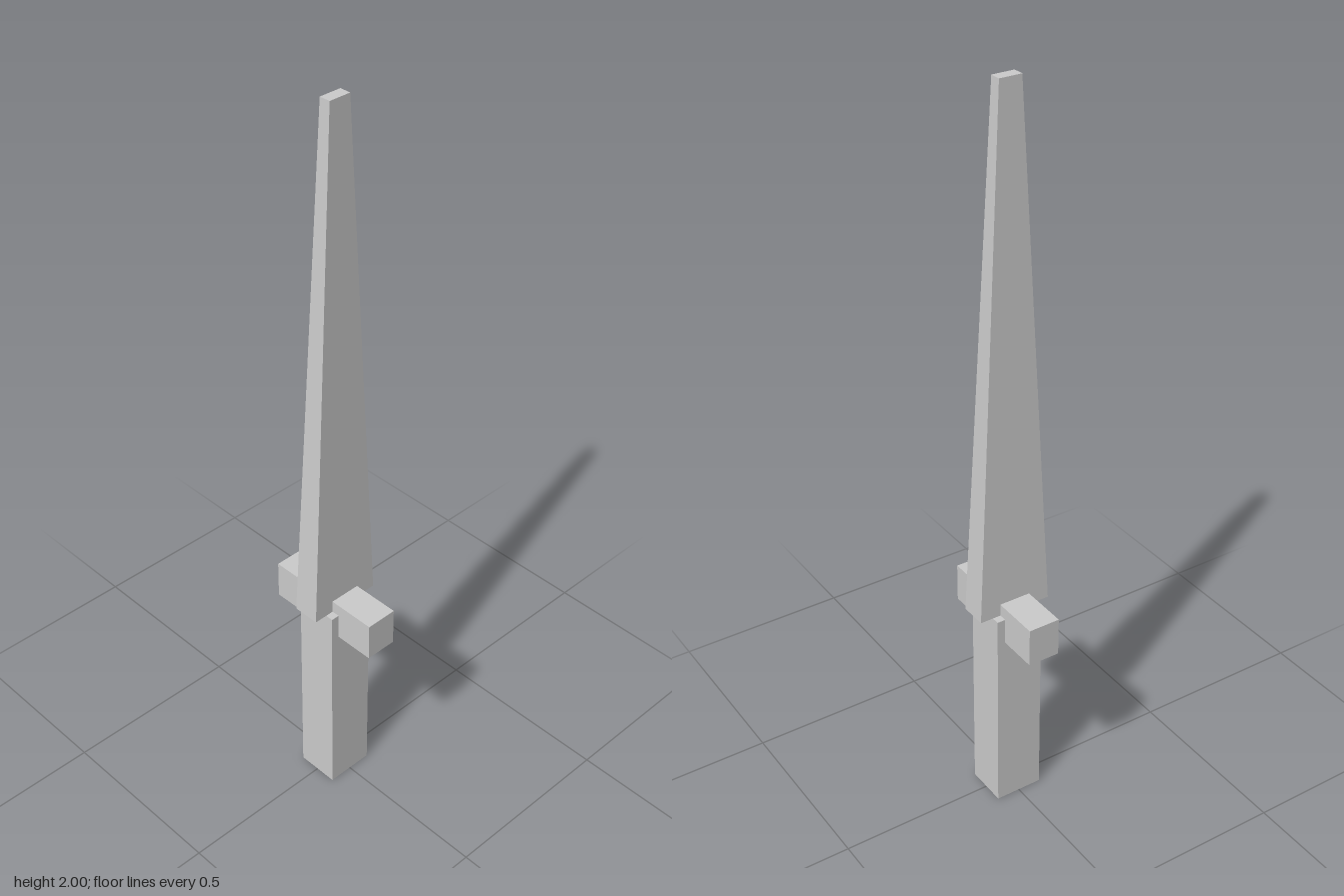
import * as THREE from 'three';

const material = new THREE.MeshStandardMaterial({ color: 0xcccccc, flatShading: true });

// Box standing from y0 to y1, optionally tapered to a smaller top.
function block(name, width, depth, y0, y1, topWidth = width, topDepth = depth) {
  const geometry = new THREE.BoxGeometry(width, y1 - y0, depth);
  const p = geometry.attributes.position;
  for (let i = 0; i < p.count; i++) {
    if (p.getY(i) > 0) {
      p.setX(i, Math.sign(p.getX(i)) * topWidth / 2);
      p.setZ(i, Math.sign(p.getZ(i)) * topDepth / 2);
    }
  }
  geometry.computeVertexNormals();
  const mesh = new THREE.Mesh(geometry, material);
  mesh.name = name;
  mesh.position.y = (y0 + y1) / 2;
  return mesh;
}

export function createModel() {
  const group = new THREE.Group();
  group.name = 'dagger';
  group.add(
    block('handle', 0.118, 0.134, 0, 0.598),
    block('crossguard', 0.34, 0.088, 0.525, 0.632),
    // Blade tapers to a small blunt tip
    block('blade', 0.074, 0.206, 0.598, 2, 0.03, 0.06),
  );
  return group;
}
